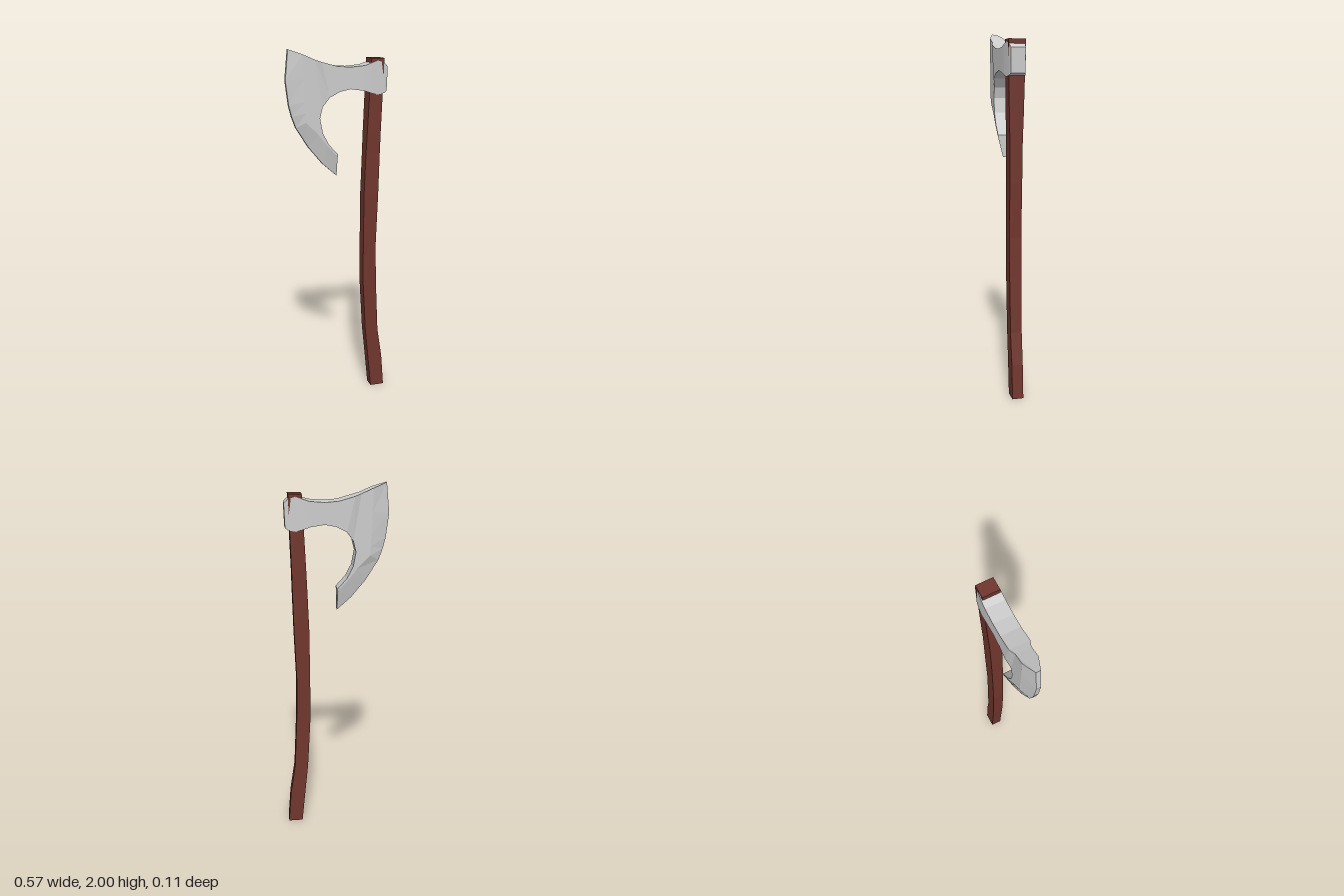
import * as THREE from 'three';

// Flat-shaded capped solid through rings of [x, y, z]; rings run counterclockwise seen from the far end
function loft(rings) {
  const pos = [];
  const tri = (a, b, c) => pos.push(...a, ...b, ...c);
  const n = rings[0].length;
  for (let i = 0; i < rings.length - 1; i++) {
    const lo = rings[i], hi = rings[i + 1];
    for (let j = 0; j < n; j++) {
      const k = (j + 1) % n;
      tri(lo[j], lo[k], hi[k]);
      tri(lo[j], hi[k], hi[j]);
    }
  }
  const first = rings[0], last = rings[rings.length - 1];
  for (let j = 1; j < n - 1; j++) {
    tri(first[0], first[j + 1], first[j]);
    tri(last[0], last[j], last[j + 1]);
  }
  const geo = new THREE.BufferGeometry();
  geo.setAttribute('position', new THREE.Float32BufferAttribute(pos, 3));
  geo.computeVertexNormals();
  return geo;
}

export function createModel() {
  const model = new THREE.Group();
  model.name = 'axe';
  const steel = new THREE.MeshStandardMaterial({ color: 0xcccccc, flatShading: true });
  const wood = new THREE.MeshStandardMaterial({ color: 0x70362d, flatShading: true });
  const add = (name, rings, material, parent) => {
    const mesh = new THREE.Mesh(loft(rings), material);
    mesh.name = name;
    parent.add(mesh);
  };

  // Curved square handle: y, left x, right x, half depth
  const handle = [
    [0, 0.203, 0.284, 0.031], [0.19, 0.184, 0.269, 0.031], [0.37, 0.165, 0.241, 0.032],
    [0.68, 0.147, 0.226, 0.033], [0.9, 0.146, 0.221, 0.033], [1.2, 0.147, 0.231, 0.034],
    [1.43, 0.155, 0.236, 0.035], [1.55, 0.16, 0.238, 0.039], [1.95, 0.178, 0.25, 0.046],
  ].map(([y, l, r, d]) => [[r, y, d], [r, y, -d], [l, y, -d], [l, y, d]]);
  add('handle', handle, wood, model);

  const head = new THREE.Group();
  head.name = 'axeHead';
  model.add(head);

  // Neck and eye: top x, top y, bottom x, bottom y, half depth
  const neck = [
    [-0.135, 1.947, -0.093, 1.70, 0.04], [-0.1, 1.935, -0.057, 1.75, 0.053],
    [-0.013, 1.911, 0, 1.779, 0.053], [0.06, 1.906, 0.06, 1.791, 0.053],
    [0.14, 1.913, 0.135, 1.78, 0.053], [0.177, 1.926, 0.18, 1.765, 0.052],
    [0.212, 1.938, 0.212, 1.757, 0.049], [0.25, 1.925, 0.255, 1.765, 0.0435],
    [0.272, 1.905, 0.268, 1.776, 0.039],
  ].map(([tx, ty, bx, by, d]) => [[bx, by, d], [bx, by, -d], [tx, ty, -d], [tx, ty, d]]);
  add('neck', neck, steel, head);

  // Bearded blade from top corner to hook tip: cutting edge, bevel ridge, inner side
  const blade = [
    [-0.272, 2.0, -0.2, 1.975, -0.135, 1.947],
    [-0.288, 1.84, -0.196, 1.85, -0.121, 1.865],
    [-0.272, 1.71, -0.19, 1.73, -0.101, 1.75],
    [-0.257, 1.65, -0.187, 1.67, -0.093, 1.70],
    [-0.235, 1.59, -0.185, 1.62, -0.108, 1.64],
    [-0.167, 1.482, -0.115, 1.55, -0.093, 1.56],
    [-0.087, 1.386, -0.067, 1.488, -0.06, 1.497],
    [-0.008, 1.317, -0.01, 1.43, -0.008, 1.44],
  ].map(([ex, ey, rx, ry, ix, iy]) => [
    [ex, ey, -0.012], [rx, ry, -0.04], [ix, iy, -0.04],
    [ix, iy, 0.04], [rx, ry, 0.04], [ex, ey, 0.012],
  ]);
  add('blade', blade, steel, head);

  return model;
}
